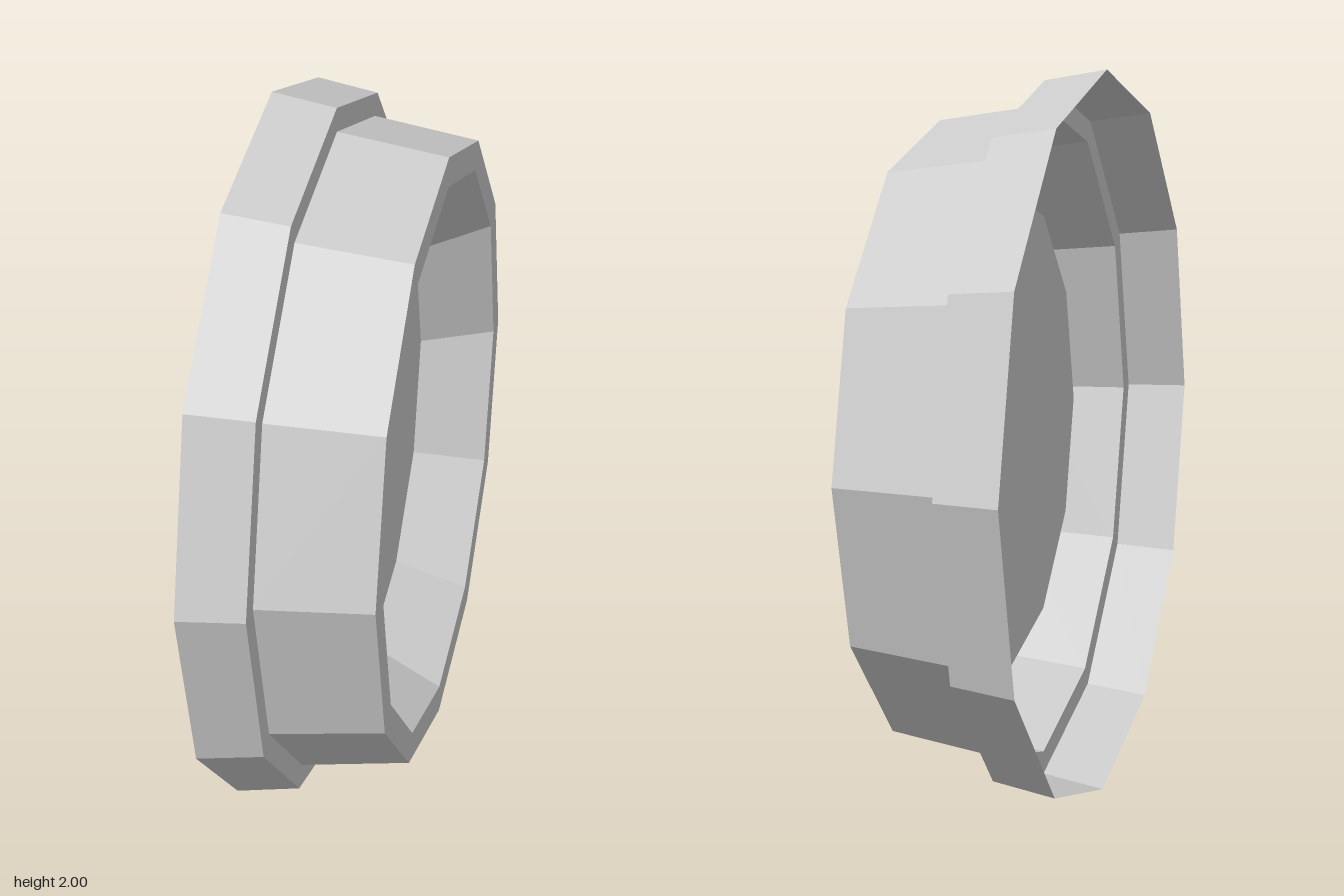
import * as THREE from 'three';

const SIDES = 12;

export function createModel() {
  const group = new THREE.Group();
  const material = new THREE.MeshStandardMaterial({
    color: 0xcccccc, flatShading: true, side: THREE.DoubleSide,
  });

  // Twelve-sided shell turned about the x axis; profile points are [radius, x]
  const addRing = (name, profile) => {
    const points = profile.map(([r, x]) => new THREE.Vector2(r, x));
    const geometry = new THREE.LatheGeometry(points, SIDES);
    geometry.rotateZ(-Math.PI / 2);
    geometry.translate(0, 1, 0);
    const mesh = new THREE.Mesh(geometry, material);
    mesh.name = name;
    group.add(mesh);
  };

  // Wide band, open on its -x end
  addRing('baseBand', [[1, -0.236], [0.97, -0.063]]);
  // Flat ledge between the two bands
  addRing('stepLedge', [[0.97, -0.063], [0.905, -0.063]]);
  // Narrower tapered band
  addRing('upperBand', [[0.905, -0.063], [0.86, 0.234]]);
  // Flat rim around the recess
  addRing('rim', [[0.86, 0.234], [0.778, 0.234]]);
  // Sloping wall down to the recessed floor
  addRing('recessWall', [[0.778, 0.234], [0.665, 0.033]]);

  // Recessed floor disc facing +x
  const floorGeometry = new THREE.CircleGeometry(0.665, SIDES);
  floorGeometry.rotateY(Math.PI / 2);
  floorGeometry.translate(0.033, 1, 0);
  const floor = new THREE.Mesh(floorGeometry, material);
  floor.name = 'recessFloor';
  group.add(floor);

  return group;
}
